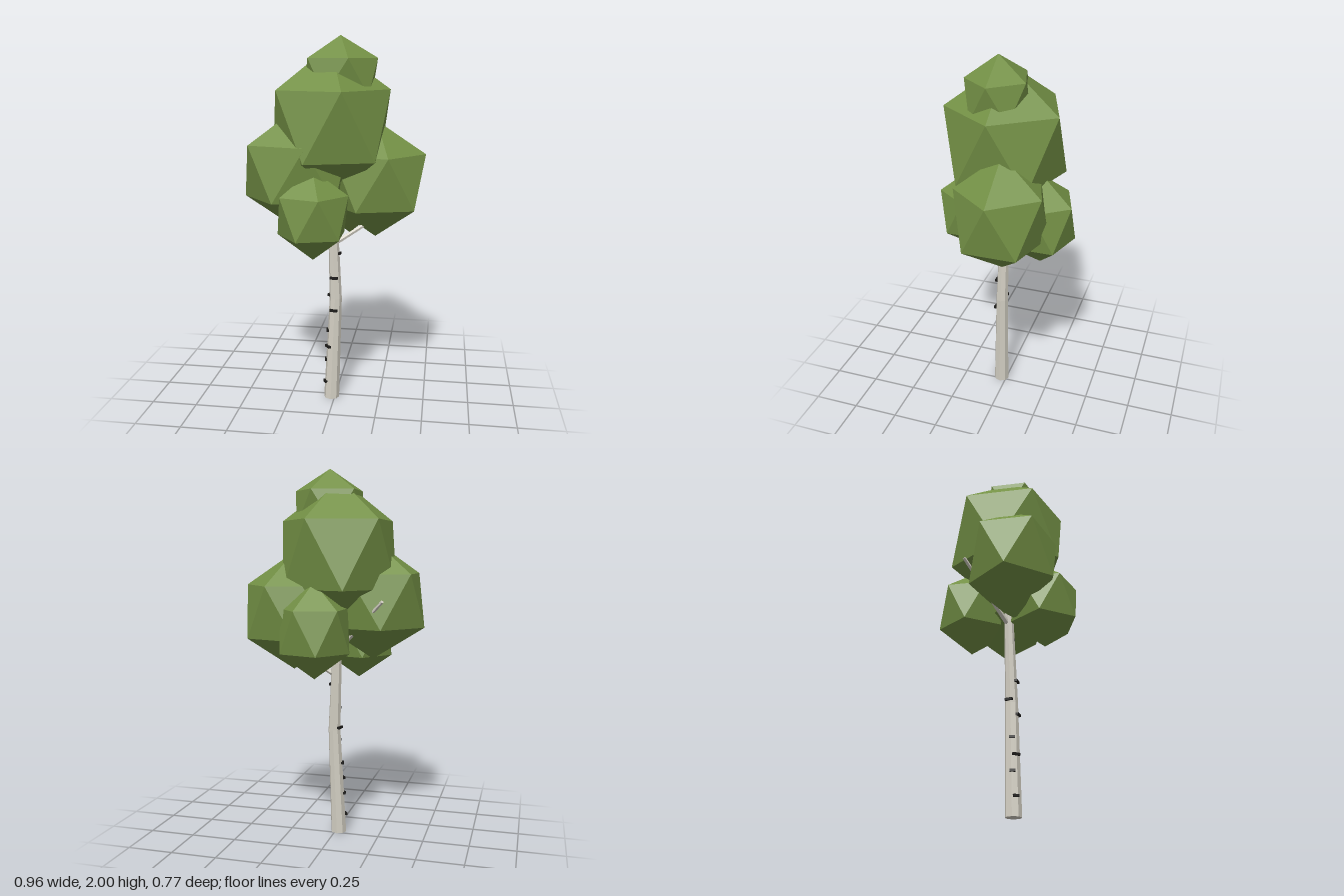
import * as THREE from 'three';

const mat = (name, color) => {
  const m = new THREE.MeshStandardMaterial({ color, flatShading: true });
  m.name = name;
  return m;
};

// trunk centre line: y, x, z, radius
const RINGS = [
  [0, -0.018, 0.03, 0.043],
  [0.59, 0.004, 0.018, 0.034],
  [0.95, -0.01, 0.01, 0.028],
  [1.5, -0.04, 0.0, 0.016],
];

// trunk centre and radius at a height
function trunkAt(y) {
  let i = 0;
  while (i < RINGS.length - 2 && y > RINGS[i + 1][0]) i++;
  const a = RINGS[i], b = RINGS[i + 1];
  const t = (y - a[0]) / (b[0] - a[0]);
  const [, x, z, r] = a.map((v, k) => v + (b[k] - v) * t);
  return { x, z, r };
}

export function createModel() {
  const tree = new THREE.Group();
  tree.name = 'tree';
  const bark = mat('pale bark', 0xd3cfc3);
  const dark = mat('dark bark marks', 0x1c1b19);
  const leaf = mat('leaf green', 0x739045);

  const add = (name, geometry, material) => {
    const mesh = new THREE.Mesh(geometry, material);
    mesh.name = name;
    tree.add(mesh);
    return mesh;
  };

  // bent, tapering trunk
  const trunk = new THREE.CylinderGeometry(1, 1, 1, 8, RINGS.length - 1);
  const p = trunk.attributes.position;
  for (let i = 0; i < p.count; i++) {
    const k = Math.round((p.getY(i) + 0.5) * (RINGS.length - 1));
    const [y, x, z, r] = RINGS[k];
    p.setXYZ(i, x + p.getX(i) * r, y, z + p.getZ(i) * r);
  }
  trunk.computeVertexNormals();
  add('trunk', trunk, bark);

  // branches reaching into the crown
  const branch = (name, from, to) => {
    const a = new THREE.Vector3(...from), b = new THREE.Vector3(...to);
    const dir = b.clone().sub(a);
    const mesh = add(name, new THREE.CylinderGeometry(0.009, 0.014, dir.length(), 6), bark);
    mesh.position.copy(a).addScaledVector(dir, 0.5);
    mesh.quaternion.setFromUnitVectors(new THREE.Vector3(0, 1, 0), dir.normalize());
  };
  branch('leftBranch', [0, 0.9, 0.01], [0.28, 1.08, -0.05]);
  branch('rightBranch', [-0.015, 1.03, 0.01], [-0.3, 1.315, -0.18]);

  // bark marks: height, angle around the trunk, width
  [
    [0.1, 150, 0.03], [0.225, 172, 0.03], [0.31, 140, 0.042],
    [0.4, 170, 0.03], [0.525, 100, 0.042], [0.605, 195, 0.04],
    [0.71, 95, 0.044], [0.845, 10, 0.024], [0.96, 20, 0.03],
  ].forEach(([y, deg, width]) => {
    const { x, z, r } = trunkAt(y);
    const a = THREE.MathUtils.degToRad(deg);
    const mesh = add('barkMark', new THREE.BoxGeometry(0.016, 0.013, width), dark);
    mesh.position.set(x + Math.cos(a) * r, y, z + Math.sin(a) * r);
    mesh.rotation.y = -a;
  });

  // leaf clump shape: icosahedron standing on a point
  const clump = new THREE.IcosahedronGeometry(1, 0);
  clump.rotateZ(-Math.atan(2 / (1 + Math.sqrt(5))));

  // clumps: name, centre, radii
  [
    ['crownMiddle', [-0.025, 1.55, 0.003], [0.35, 0.4, 0.352]],
    ['crownTop', [0.03, 1.795, 0.025], [0.215, 0.205, 0.185]],
    ['crownLeft', [0.212, 1.248, -0.052], [0.296, 0.315, 0.268]],
    ['crownRight', [-0.2, 1.307, 0.068], [0.312, 0.32, 0.262]],
    ['crownFront', [-0.088, 1.098, 0.213], [0.208, 0.238, 0.2]],
    ['crownBack', [0.05, 1.16, -0.212], [0.21, 0.252, 0.203]],
  ].forEach(([name, centre, radii]) => {
    const mesh = add(name, clump, leaf);
    mesh.position.set(...centre);
    mesh.scale.set(...radii);
  });

  return tree;
}
